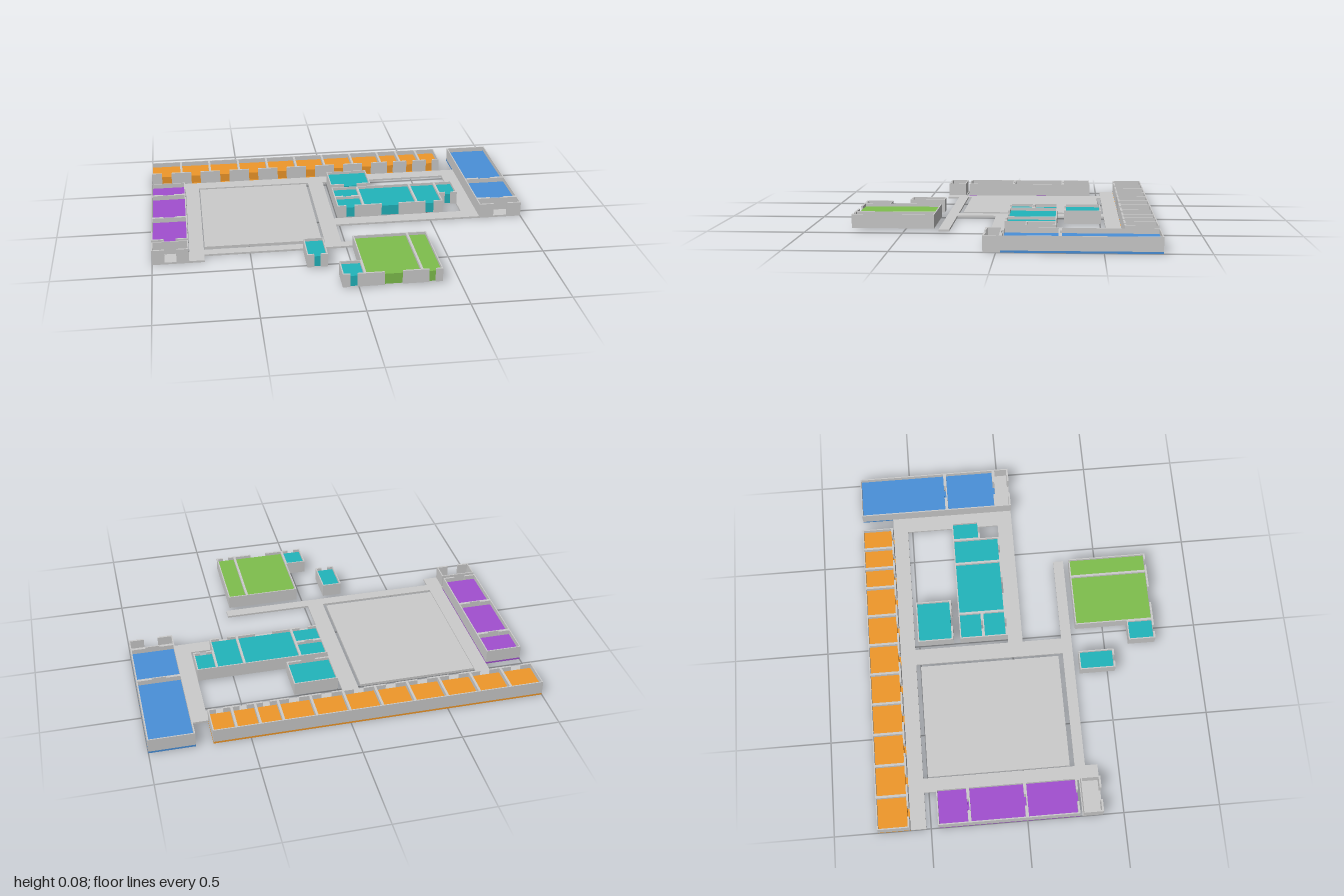
import * as THREE from 'three';

const GREY = 0xcccccc, ORANGE = 0xf0982a, BLUE = 0x4a90d9, PURPLE = 0xa24fd0, TEAL = 0x22b5bc, GREEN = 0x7fbf4d;
const WALL = 0.006, FRONT = 0.01, WALL_BASE = 0.01, WALL_TOP = 0.08, BLOCK = 0.055;

const materials = {};
function material(color) {
  return (materials[color] ??= new THREE.MeshStandardMaterial({ color, flatShading: true }));
}

// Box given by its limits along each axis
function slab(name, color, x0, x1, y0, y1, z0, z1) {
  const mesh = new THREE.Mesh(new THREE.BoxGeometry(x1 - x0, y1 - y0, z1 - z0), material(color));
  mesh.name = name;
  mesh.position.set((x0 + x1) / 2, (y0 + y1) / 2, (z0 + z1) / 2);
  return mesh;
}

// Room: coloured block inside thin walls, with a doorway in the front wall
function room(name, color, base, x0, x1, z0, z1) {
  const g = new THREE.Group();
  g.name = name;
  const wall = (label, a, b, c, d) => g.add(slab(label, GREY, a, b, WALL_BASE, WALL_TOP, c, d));
  const zf = z1 - FRONT, mid = (x0 + x1) / 2, half = (x1 - x0) * 0.16;
  wall('rightWall', x0, x0 + WALL, z0, zf);
  wall('leftWall', x1 - WALL, x1, z0, zf);
  wall('backWall', x0 + WALL, x1 - WALL, z0, z0 + WALL);
  wall('frontWallRight', x0, mid - half, zf, z1);
  wall('frontWallLeft', mid + half, x1, zf, z1);
  if (color !== GREY) {
    g.add(slab('roomBlock', color, x0 + WALL, x1 - WALL, base, base + BLOCK, z0 + WALL, zf));
    // Floor edge showing beneath the walls
    if (base === 0) g.add(slab('roomFloor', color, x0, x1, 0, WALL_BASE, z0, z1));
  }
  return g;
}

export function createModel() {
  const model = new THREE.Group();
  model.name = 'buildingComplex';

  // Walkways between the wings: x0, x1, z0, z1
  const walkways = [
    [-1, 0.77, -0.605, -0.525],
    [-0.81, -0.735, -0.525, 0.39],
    [-0.105, -0.02, -0.525, 0.27],
    [-0.735, 0.435, 0.27, 0.325],
    [0.685, 0.77, -0.525, -0.02],
    [-0.02, 1, -0.02, 0.06],
    [-1, -0.81, 0.285, 0.39],
  ];
  for (const [x0, x1, z0, z1] of walkways) model.add(slab('walkway', GREY, x0, x1, 0, 0.01, z0, z1));
  model.add(slab('courtyard', 0xbcbcbc, -0.73, -0.12, 0, 0.014, -0.5, 0.245));

  // Back row of rooms
  const backX = [-1, -0.83, -0.665, -0.497, -0.33, -0.163, 0.003, 0.17, 0.335, 0.45, 0.568, 0.685];
  for (let i = 0; i + 1 < backX.length; i++) {
    model.add(room('backRoom', ORANGE, 0, backX[i], backX[i + 1], -0.773, -0.605));
  }

  // Side wings, each ending in an open grey porch
  const rightZ = [-0.46, -0.295, 0, 0.27];
  for (let i = 0; i < 3; i++) model.add(room('rightWingRoom', PURPLE, 0, -1, -0.813, rightZ[i], rightZ[i + 1]));
  const leftZ = [-0.773, -0.295, -0.02];
  for (let i = 0; i < 2; i++) model.add(room('leftWingRoom', BLUE, 0, 0.77, 1, leftZ[i], leftZ[i + 1]));
  model.add(room('rightPorch', GREY, 0, -1, -0.813, 0.29, 0.392));
  model.add(room('leftPorch', GREY, 0, 0.77, 1, -0.02, 0.062));

  // Central and front service rooms: x0, x1, z0, z1
  const services = [
    [0, 0.227, -0.503, -0.312],
    [0, 0.143, -0.276, -0.148],
    [0, 0.143, -0.148, -0.02],
    [0.143, 0.438, -0.276, -0.02],
    [0.438, 0.582, -0.276, -0.02],
    [0.582, 0.685, -0.276, -0.125],
    [-0.229, -0.125, 0.35, 0.54],
    [-0.082, 0.028, 0.628, 0.773],
  ];
  for (const s of services) model.add(room('serviceRoom', TEAL, WALL_BASE, ...s));

  // Front halls
  model.add(room('largeHall', GREEN, WALL_BASE, 0.028, 0.31, 0.35, 0.773));
  model.add(room('smallHall', GREEN, WALL_BASE, 0.31, 0.413, 0.35, 0.773));

  return model;
}
